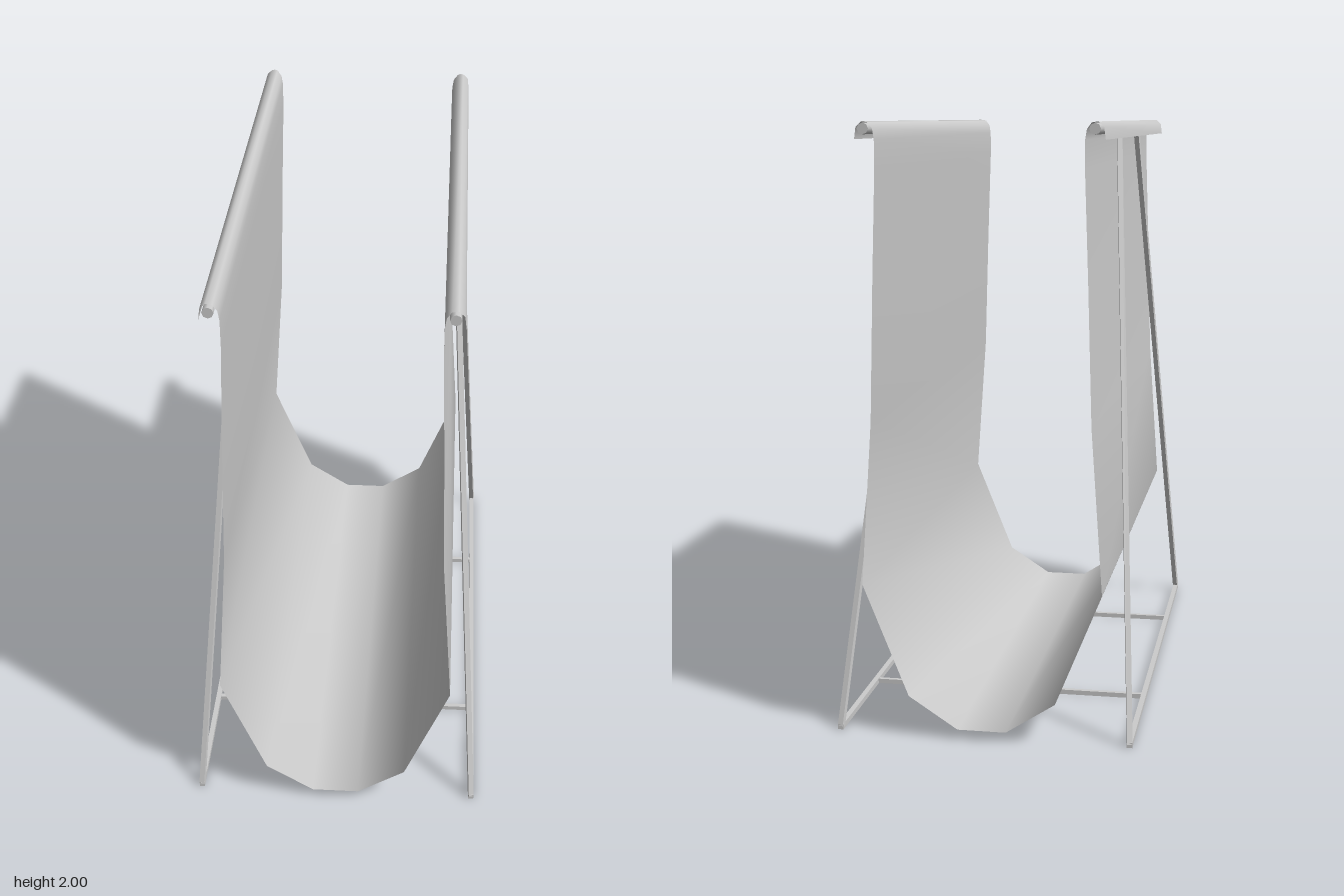
import * as THREE from 'three';

const metal = new THREE.MeshStandardMaterial({ color: 0xcccccc });
const cloth = new THREE.MeshStandardMaterial({ color: 0xcccccc, side: THREE.DoubleSide });

// Square bar running from a to b
function bar(name, a, b, size = 0.018) {
  const from = new THREE.Vector3(...a), to = new THREE.Vector3(...b);
  const geo = new THREE.BoxGeometry(size, size, from.distanceTo(to));
  const mesh = new THREE.Mesh(geo, metal);
  mesh.name = name;
  mesh.position.copy(from).add(to).multiplyScalar(0.5);
  mesh.lookAt(to);
  return mesh;
}

// Hanging sheet: half profile from the bottom centre up and over the rail
function sling() {
  const half = [
    [0.08, 0.035], [0.242, 0.14], [0.392, 0.51], [0.355, 1.05], [0.342, 1.5],
    [0.33, 1.85], [0.33, 1.94], [0.335, 1.972], [0.35, 1.992],
    [0.37, 1.995], [0.388, 1.978], [0.393, 1.94],
  ];
  const profile = [...half.map(([x, y]) => [-x, y]).reverse(), ...half];
  const geo = new THREE.PlaneGeometry(1, 1.88, profile.length - 1, 1);
  const pos = geo.attributes.position;
  for (let i = 0; i < pos.count; i++) {
    const [x, y] = profile[i % profile.length];
    pos.setXYZ(i, x, y, -pos.getY(i));
  }
  geo.computeVertexNormals();
  const mesh = new THREE.Mesh(geo, cloth);
  mesh.name = 'fabricSling';
  return mesh;
}

export function createModel() {
  const group = new THREE.Group();
  group.name = 'slingRack';
  group.add(sling());

  for (const s of [1, -1]) {
    const side = new THREE.Group();
    side.name = s > 0 ? 'leftFrame' : 'rightFrame';

    // Top rail inside the sling's hem
    const rail = new THREE.Mesh(new THREE.CylinderGeometry(0.018, 0.018, 1.91, 8), metal);
    rail.name = 'topRail';
    rail.rotation.x = Math.PI / 2;
    rail.position.set(s * 0.362, 1.973, 0);
    side.add(rail);

    // Floor rail and the two leaning legs
    side.add(bar('floorRail', [s * 0.482, 0.009, -0.915], [s * 0.482, 0.009, 0.915]));
    for (const z of [1, -1]) {
      side.add(bar('leg', [s * 0.482, 0.009, z * 0.908], [s * 0.357, 1.97, z * 0.273]));
    }
    group.add(side);
  }

  // Cross bars joining the floor rails
  for (const z of [0.455, -0.455]) {
    group.add(bar('crossBar', [-0.482, 0.009, z], [0.482, 0.009, z], 0.016));
  }
  return group;
}
